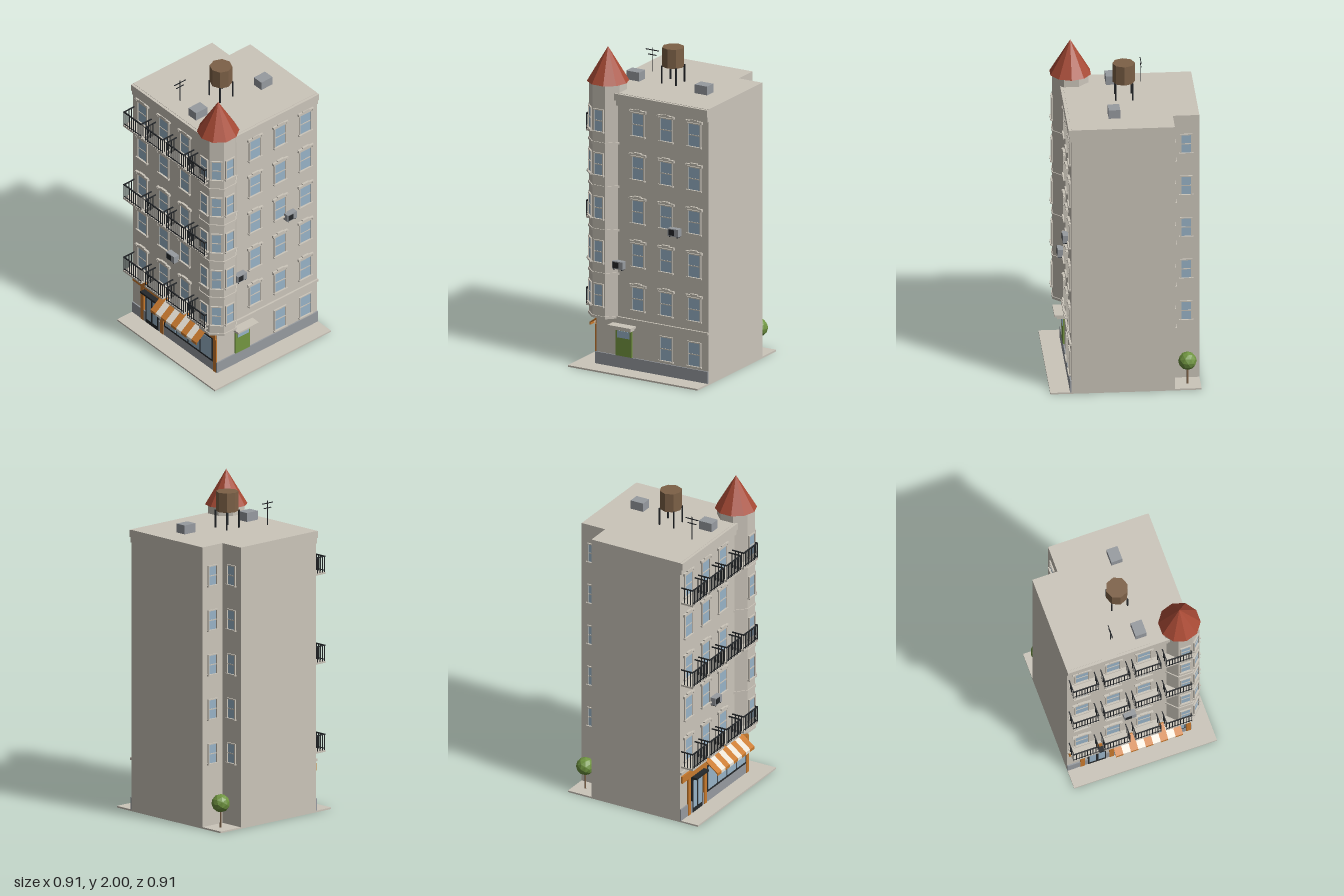
import * as THREE from 'three';

const mat = (name, color) => Object.assign(new THREE.MeshStandardMaterial({ color }), { name });
const M = {
  stone: mat('stone', 0xcbc5ba), gray: mat('slate gray', 0x979ba0), glass: mat('window glass', 0x98b3c7),
  black: mat('black iron', 0x25282b), door: mat('door green', 0x749640), leaf: mat('leaf green', 0x6f9440),
  red: mat('roof red', 0xa84a35), wood: mat('tank wood', 0x7d6147), orange: mat('shop orange', 0xc97a2e),
  cream: mat('awning cream', 0xe8e2d6),
};
M.leaf.flatShading = M.red.flatShading = M.wood.flatShading = M.stone.flatShading = true;

const FRONT = 0.328, SIDE = -0.33, BACK = -0.455, RIGHT = 0.455, NOTCH = 0.29, ROOF = 1.735;
const FLOORS = [0, 1, 2, 3, 4].map(i => 0.46 + i * 0.2745); // window centre heights
const LEFTWARD = -Math.PI / 2;

function add(parent, name, geo, m, x = 0, y = 0, z = 0) {
  const mesh = new THREE.Mesh(geo, m);
  mesh.name = name;
  mesh.position.set(x, y, z);
  parent.add(mesh);
  return mesh;
}
// box given by its lower and upper corners
function box(parent, name, m, [x0, y0, z0], [x1, y1, z1]) {
  return add(parent, name, new THREE.BoxGeometry(x1 - x0, y1 - y0, z1 - z0), m,
    (x0 + x1) / 2, (y0 + y1) / 2, (z0 + z1) / 2);
}
// group whose local +z points away from a wall
function mount(parent, name, x, y, z, turn = 0) {
  const g = new THREE.Group();
  g.name = name;
  g.position.set(x, y, z);
  g.rotation.y = turn;
  parent.add(g);
  return g;
}

function windowOn(parent, x, y, z, turn, w, h, lintel) {
  const g = mount(parent, 'window', x, y, z, turn), a = w / 2, b = h / 2;
  box(g, 'windowGlass', M.glass, [-a, -b, -0.004], [a, b, 0.003]);
  for (const s of [-1, 1]) {
    box(g, 'windowJamb', M.stone, [s * (a + 0.004) - 0.004, -b, 0], [s * (a + 0.004) + 0.004, b, 0.009]);
  }
  box(g, 'windowHead', M.stone, [-a - 0.008, b, 0], [a + 0.008, b + 0.007, 0.009]);
  box(g, 'windowBar', M.stone, [-a, -0.003, 0], [a, 0.003, 0.006]);
  box(g, 'windowSill', M.stone, [-a - 0.013, -b - 0.009, 0], [a + 0.013, -b, 0.015]);
  if (lintel) {
    box(g, 'lintel', M.stone, [-a - 0.018, b + 0.012, 0], [a + 0.018, b + 0.022, 0.014]);
    box(g, 'lintelCrown', M.stone, [-0.025, b + 0.022, 0], [0.025, b + 0.029, 0.014]);
    for (const s of [-1, 1]) {
      box(g, 'lintelEnd', M.stone, [s * (a + 0.012) - 0.007, b + 0.006, 0], [s * (a + 0.012) + 0.007, b + 0.017, 0.016]);
    }
  }
}

function airConditioner(parent, x, y, z, turn) {
  const g = mount(parent, 'airConditioner', x, y, z, turn);
  box(g, 'coolerCase', M.gray, [-0.037, -0.023, 0], [0.037, 0.025, 0.037]);
  box(g, 'coolerGrille', M.black, [-0.031, -0.017, 0.036], [0.008, 0.019, 0.039]);
  for (const s of [-1, 1]) box(g, 'coolerBracket', M.black, [s * 0.027 - 0.003, -0.03, 0], [s * 0.027 + 0.003, -0.023, 0.034]);
}

function balcony(parent, y, z) {
  const g = mount(parent, 'balcony', SIDE, y, z, LEFTWARD), w = 0.0825, d = 0.085, h = 0.1;
  box(g, 'balconyFloor', M.stone, [-w, -0.012, 0], [w, 0, d]);
  box(g, 'frontRail', M.black, [-w, h - 0.007, d - 0.007], [w, h, d]);
  box(g, 'frontLowerRail', M.black, [-w, 0.008, d - 0.005], [w, 0.012, d - 0.001]);
  for (const s of [-1, 1]) {
    box(g, 'sideRail', M.black, [s * (w - 0.003) - 0.003, h - 0.007, 0], [s * (w - 0.003) + 0.003, h, d]);
    for (let i = 1; i < 4; i++) box(g, 'sideBar', M.black, [s * (w - 0.003) - 0.002, 0, i * 0.021], [s * (w - 0.003) + 0.002, h, i * 0.021 + 0.004]);
  }
  for (let i = 0; i <= 9; i++) {
    const x = -w + 0.003 + i * (2 * w - 0.006) / 9;
    box(g, 'frontBar', M.black, [x - 0.002, 0, d - 0.005], [x + 0.002, h, d - 0.001]);
  }
}

function buildBody(g) {
  box(g, 'pavement', M.stone, [-0.455, 0, -0.455], [0.455, 0.01, 0.455]);
  // L-shaped plan, extruded upward
  const plan = new THREE.Shape([[SIDE, -FRONT], [RIGHT, -FRONT], [RIGHT, 0.295], [NOTCH, 0.295], [NOTCH, -BACK], [SIDE, -BACK]]
    .map(p => new THREE.Vector2(...p)));
  const geo = new THREE.ExtrudeGeometry(plan, { depth: ROOF - 0.01, bevelEnabled: false });
  geo.rotateX(-Math.PI / 2);
  add(g, 'walls', geo, M.stone, 0, 0.01, 0);
  // bands running along the two street sides
  for (const [name, y0, y1, out] of [['cornice', 1.69, 1.733, 0.017], ['corniceLower', 1.657, 1.69, 0.009], ['beltCourse', 0.315, 0.33, 0.012]]) {
    box(g, name, M.stone, [SIDE - out, y0, FRONT], [RIGHT, y1, FRONT + out]);
    box(g, name, M.stone, [SIDE - out, y0, BACK], [SIDE, y1, FRONT]);
  }
  box(g, 'plinth', M.gray, [SIDE - 0.008, 0.01, FRONT], [RIGHT, 0.085, FRONT + 0.008]);
  box(g, 'plinth', M.gray, [SIDE - 0.008, 0.01, BACK], [SIDE, 0.085, FRONT]);
}

function buildWindows(g) {
  FLOORS.forEach((y, i) => {
    for (const x of [-0.037, 0.16, 0.358]) windowOn(g, x, y, FRONT, 0, 0.08, 0.14, true);
    for (const z of [-0.363, -0.163, 0.033]) windowOn(g, SIDE, y, z, LEFTWARD, 0.08, 0.14, true);
    windowOn(g, NOTCH, y - 0.008, -0.375, Math.PI / 2, 0.06, 0.115, false);
    windowOn(g, 0.375, y - 0.008, -0.295, Math.PI, 0.06, 0.115, false);
    if (i % 2 === 0) for (const z of [-0.363, -0.163, 0.033, 0.23]) balcony(g, y - 0.09, z);
  });
  for (const x of [0.16, 0.358]) windowOn(g, x, 0.178, FRONT, 0, 0.08, 0.145, false);
  airConditioner(g, 0.228, 0.93, FRONT, 0);
  airConditioner(g, -0.163, 0.66, FRONT, 0);
  airConditioner(g, SIDE, 0.66, -0.065, LEFTWARD);
}

function buildTurret(g) {
  const t = mount(g, 'turret', -0.28, 0, 0.278), a = 0.107, R = a / Math.cos(Math.PI / 8);
  const prism = (name, r, y0, y1) => {
    add(t, name, new THREE.CylinderGeometry(r, r, y1 - y0, 8), M.stone, 0, (y0 + y1) / 2, 0).rotation.y = Math.PI / 8;
  };
  prism('turretShaft', R, 0.316, 1.786);
  for (let i = 0; i < 5; i++) prism('turretRing', R + 0.006, 0.317 + i * 0.2735, 0.332 + i * 0.2735);
  for (const y of FLOORS) {
    for (const k of [0, 1, 2]) {
      const turn = -k * Math.PI / 4;
      windowOn(t, Math.sin(turn) * a, y + 0.003, Math.cos(turn) * a, turn, 0.054, 0.132, false);
    }
  }
  add(t, 'turretRoof', new THREE.ConeGeometry(0.128, 0.215, 10), M.red, 0, 1.8925, 0).rotation.y = Math.PI / 2;
}

function buildEntrance(g) {
  const e = mount(g, 'entrance', -0.135, 0, FRONT);
  box(e, 'door', M.door, [-0.057, 0.085, 0], [0.057, 0.253, 0.009]);
  box(e, 'doorWindow', M.glass, [-0.043, 0.2, 0.008], [0.043, 0.243, 0.012]);
  box(e, 'doorCanopy', M.stone, [-0.081, 0.274, 0], [0.081, 0.286, 0.062]);
  box(e, 'doorCanopyBase', M.stone, [-0.07, 0.257, 0], [0.07, 0.274, 0.045]);
}

function buildShop(g) {
  // local x runs along the street, local z points away from the wall
  const s = mount(g, 'shop', SIDE, 0, 0, LEFTWARD);
  box(s, 'shopSign', M.orange, [-0.445, 0.255, 0], [0.32, 0.3, 0.012]);
  for (const x of [-0.36, -0.175, 0.315]) box(s, 'shopPier', M.orange, [x - 0.014, 0.01, 0], [x + 0.014, 0.255, 0.011]);
  box(s, 'shopDoor', M.black, [-0.325, 0.01, 0], [-0.21, 0.235, 0.01]);
  for (const x of [-0.296, -0.239]) box(s, 'shopDoorGlass', M.glass, [x - 0.021, 0.04, 0.009], [x + 0.021, 0.22, 0.012]);
  box(s, 'shopDoorCanopy', M.black, [-0.335, 0.24, 0], [-0.195, 0.254, 0.045]);
  box(s, 'shopFrame', M.black, [-0.155, 0.075, 0], [0.297, 0.255, 0.01]);
  for (let i = 0; i < 4; i++) {
    const x = -0.145 + i * 0.111;
    box(s, 'shopGlass', M.glass, [x, 0.09, 0.009], [x + 0.1, 0.24, 0.012]);
  }
  // striped awning with a short valance
  const W = 0.0475, slope = new THREE.Shape();
  [[0, 0.3], [0.088, 0.232], [0.088, 0.214], [0.083, 0.214], [0.083, 0.228], [0, 0.292]].forEach(([z, y], i) =>
    i ? slope.lineTo(-z, y) : slope.moveTo(-z, y));
  for (let i = 0; i < 9; i++) {
    const geo = new THREE.ExtrudeGeometry(slope, { depth: W, bevelEnabled: false });
    geo.rotateY(Math.PI / 2);
    add(s, 'awningStripe', geo, i % 2 ? M.cream : M.orange, -0.178 + i * W, 0, 0.008);
  }
}

function buildRoofItems(g) {
  box(g, 'roofVent', M.gray, [-0.278, ROOF, 0], [-0.188, 1.79, 0.07]);
  box(g, 'roofVent', M.gray, [0.215, ROOF, -0.0 + 0.022], [0.303, 1.79, 0.092]);
  const t = mount(g, 'waterTank', -0.005, 0, -0.022);
  add(t, 'tankBarrel', new THREE.CylinderGeometry(0.068, 0.068, 0.12, 8), M.wood, 0, 1.9, 0);
  for (const x of [-0.05, 0.05]) for (const z of [-0.05, 0.05]) {
    box(t, 'tankLeg', M.black, [x - 0.004, ROOF, z - 0.004], [x + 0.004, 1.845, z + 0.004]);
  }
  const a = mount(g, 'antenna', -0.225, 0, -0.142);
  box(a, 'antennaPole', M.black, [-0.002, ROOF, -0.002], [0.002, 1.885, 0.002]);
  [[0.045, 1.868], [0.03, 1.838]].forEach(([w, y]) => box(a, 'antennaBar', M.black, [-w, y, -0.002], [w, y + 0.005, 0.002]));
}

function buildTree(g) {
  const t = mount(g, 'tree', 0.381, 0, -0.376);
  add(t, 'treeTrunk', new THREE.CylinderGeometry(0.005, 0.006, 0.12, 6), M.wood, 0, 0.065, 0);
  add(t, 'treeCrown', new THREE.IcosahedronGeometry(0.056, 1), M.leaf, 0, 0.16, 0);
}

export function createModel() {
  const g = new THREE.Group();
  g.name = 'cornerApartmentBuilding';
  [buildBody, buildWindows, buildTurret, buildEntrance, buildShop, buildRoofItems, buildTree].forEach(build => build(g));
  return g;
}
